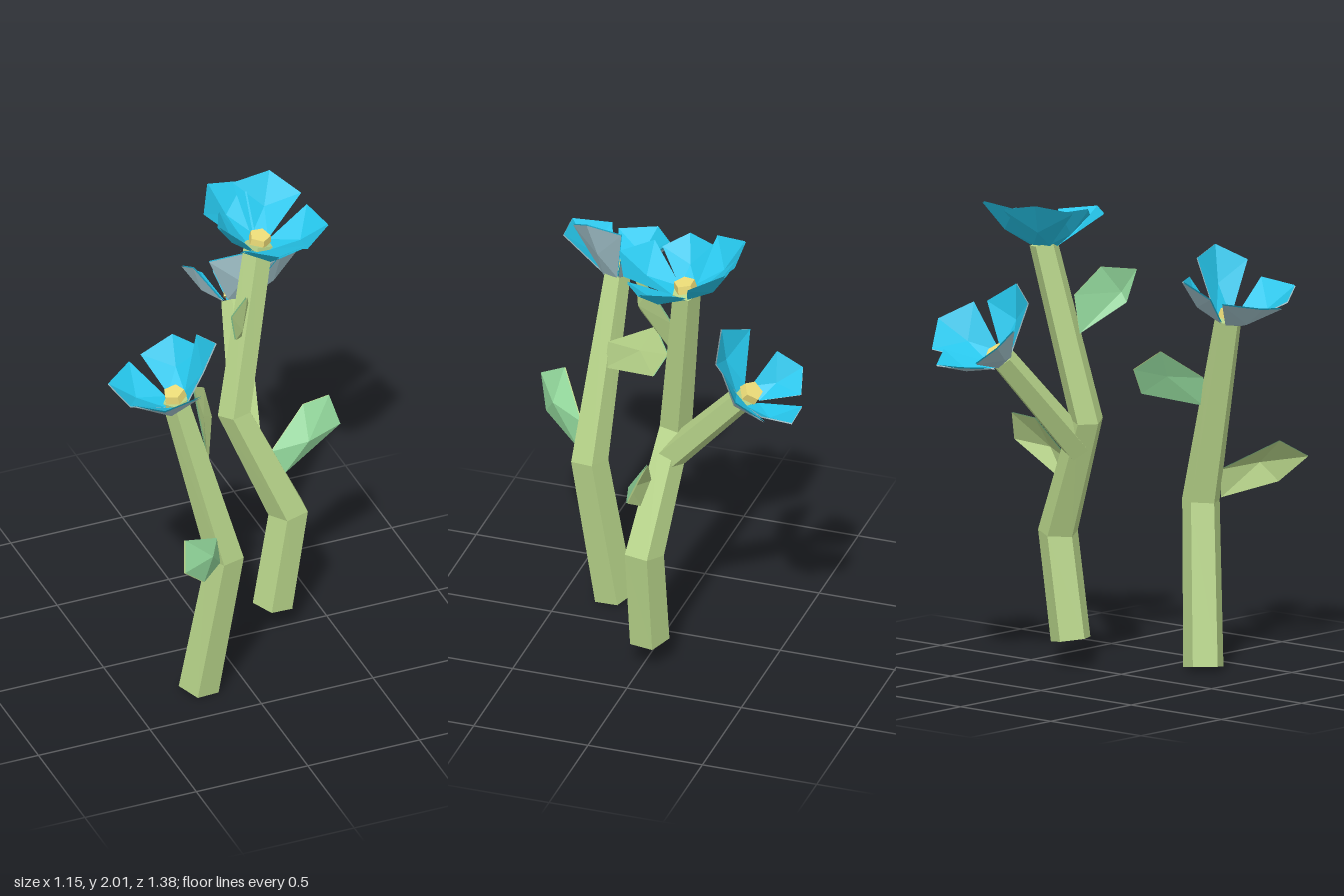
import * as THREE from 'three';

const V = (p) => new THREE.Vector3(...p);
const STEM = 0xb8d58a, LEAF = 0x8fd398, PETAL = 0x25c5ea, PALE = 0xa3c4cc, YELLOW = 0xecdc78;

function meshFrom(name, points, color) {
  const geometry = new THREE.BufferGeometry().setFromPoints(points);
  geometry.computeVertexNormals();
  const material = new THREE.MeshStandardMaterial({ color, flatShading: true, side: THREE.DoubleSide });
  const mesh = new THREE.Mesh(geometry, material);
  mesh.name = name;
  return mesh;
}

// Five-sided stem lofted through the path, mitred at the bends
function stem(name, path, radii, sides = 5) {
  const pts = path.map(V);
  const rings = pts.map((p, i) => {
    const a = pts[Math.max(i - 1, 0)], b = pts[Math.min(i + 1, pts.length - 1)];
    const dirIn = p.clone().sub(a).normalize(), dirOut = b.clone().sub(p).normalize();
    const t = dirIn.add(dirOut).normalize();
    const u = new THREE.Vector3(1, 0, 0).addScaledVector(t, -t.x).normalize();
    const w = new THREE.Vector3().crossVectors(u, t);
    return Array.from({ length: sides }, (_, k) => {
      const ang = (k / sides) * Math.PI * 2 - 0.49;
      return p.clone().addScaledVector(u, radii[i] * Math.cos(ang)).addScaledVector(w, radii[i] * Math.sin(ang));
    });
  });
  const tri = [], last = rings.length - 1;
  for (let k = 0; k < sides; k++) {
    const n = (k + 1) % sides;
    for (let i = 0; i < last; i++) {
      const [a, b, c, d] = [rings[i][k], rings[i][n], rings[i + 1][n], rings[i + 1][k]];
      tri.push(a, c, b, a, d, c);
    }
    tri.push(pts[0], rings[0][k], rings[0][n], pts[last], rings[last][n], rings[last][k]);
  }
  return meshFrom(name, tri, STEM);
}

// Folded blade: facets around a hub, with a second skin just beneath in its own colour
function blade(name, hub, rim, upperColor, underColor) {
  const upper = [], under = [], normal = new THREE.Vector3();
  rim.forEach((a, i) => {
    const b = rim[(i + 1) % rim.length];
    upper.push(hub, a, b);
    under.push(hub, b, a);
    normal.add(a.clone().sub(hub).cross(b.clone().sub(hub)));
  });
  normal.setLength(0.006);
  const group = new THREE.Group();
  group.name = name;
  group.add(meshFrom(name + 'Upper', upper, upperColor));
  group.add(meshFrom(name + 'Under', under.map((p) => p.clone().sub(normal)), underColor));
  return group;
}

const leaf = (name, mid, rim) => blade(name, V(mid), rim.map(V), LEAF, STEM);

// Cupped petals spread around an axis, each given by its tip, with a five-sided centre
function flower(name, center, axis, tips, halfAngle, underColor) {
  const group = new THREE.Group();
  group.name = name;
  const c = V(center), n = V(axis).normalize();
  tips.forEach((tip) => {
    const reach = V(tip).sub(c);
    const out = reach.clone().addScaledVector(n, -reach.dot(n)).normalize();
    const inner = (s) => out.clone().multiplyScalar(0.055).applyAxisAngle(n, s * 0.7).add(c);
    const corner = (s) => reach.clone().multiplyScalar(0.86).applyAxisAngle(n, s * halfAngle).add(c);
    const belly = c.clone().addScaledVector(reach, 0.62).addScaledVector(n, -0.045);
    const rim = [inner(-1), corner(-1), V(tip), corner(1), inner(1)];
    group.add(blade('petal', belly, rim, PETAL, underColor));
  });
  const eye = new THREE.Mesh(
    new THREE.CylinderGeometry(0.045, 0.05, 0.035, 5),
    new THREE.MeshStandardMaterial({ color: YELLOW, flatShading: true }),
  );
  eye.name = 'flowerCenter';
  eye.position.copy(c).addScaledVector(n, 0.03);
  eye.quaternion.setFromUnitVectors(new THREE.Vector3(0, 1, 0), n);
  group.add(eye);
  return group;
}

export function createModel() {
  const model = new THREE.Group();
  model.name = 'flowers';

  // Shorter plant
  const short = new THREE.Group();
  short.name = 'shortPlant';
  short.add(
    stem('shortStem', [[-0.195, 0.008, 0.295], [-0.11, 0.69, 0.375], [-0.31, 1.48, 0.32]], [0.088, 0.082, 0.058]),
    leaf('lowerLeaf', [-0.25, 0.84, 0.58],
      [[-0.16, 0.7, 0.44], [-0.17, 0.82, 0.43], [-0.37, 0.945, 0.57], [-0.42, 0.87, 0.69], [-0.31, 0.76, 0.63]]),
    leaf('upperLeaf', [-0.12, 1.24, 0.15],
      [[-0.17, 1.1, 0.32], [-0.18, 1.22, 0.31], [-0.14, 1.355, 0.09], [-0.06, 1.28, 0.01], [-0.05, 1.17, 0.07]]),
    flower('shortFlower', [-0.31, 1.475, 0.32], [-0.25, 1, 0.05],
      [[-0.575, 1.57, 0.23], [-0.24, 1.66, 0.115], [-0.165, 1.77, 0.4], [-0.46, 1.61, 0.565]], 0.7, PALE),
  );

  // Taller plant with a side branch
  const tall = new THREE.Group();
  tall.name = 'tallPlant';
  tall.add(
    stem('tallStem', [[0.265, 0.11, -0.015], [0.335, 0.555, -0.015], [0.12, 1.06, -0.08], [0.27, 1.8, -0.18]],
      [0.087, 0.087, 0.072, 0.062]),
    stem('branch', [[0.17, 0.93, -0.07], [0.27, 1.35, -0.44]], [0.066, 0.056]),
    leaf('sideLeaf', [0.41, 0.9, 0.025],
      [[0.31, 0.76, 0.01], [0.57, 0.92, -0.02], [0.54, 1.04, -0.07], [0.42, 1.03, -0.06], [0.26, 0.86, -0.02]]),
    leaf('topLeaf', [0.08, 1.58, 0.09],
      [[0.15, 1.42, -0.09], [0.05, 1.54, 0.09], [0.02, 1.68, 0.12], [0.13, 1.69, 0.02], [0.18, 1.58, -0.09]]),
    flower('tallFlower', [0.27, 1.795, -0.18], [0.06, 1, 0.15],
      [[0.13, 2, -0.39], [0.41, 1.99, -0.4], [0.53, 1.9, -0.06], [0.24, 1.92, 0.12], [0.07, 1.96, -0.13]], 0.64, PETAL),
    flower('branchFlower', [0.27, 1.35, -0.45], [0.2, 0.75, -0.6],
      [[0.57, 1.49, -0.5], [0.28, 1.65, -0.34], [0.41, 1.34, -0.69], [0.12, 1.44, -0.64]], 0.64, PALE),
  );

  model.add(short, tall);
  return model;
}
